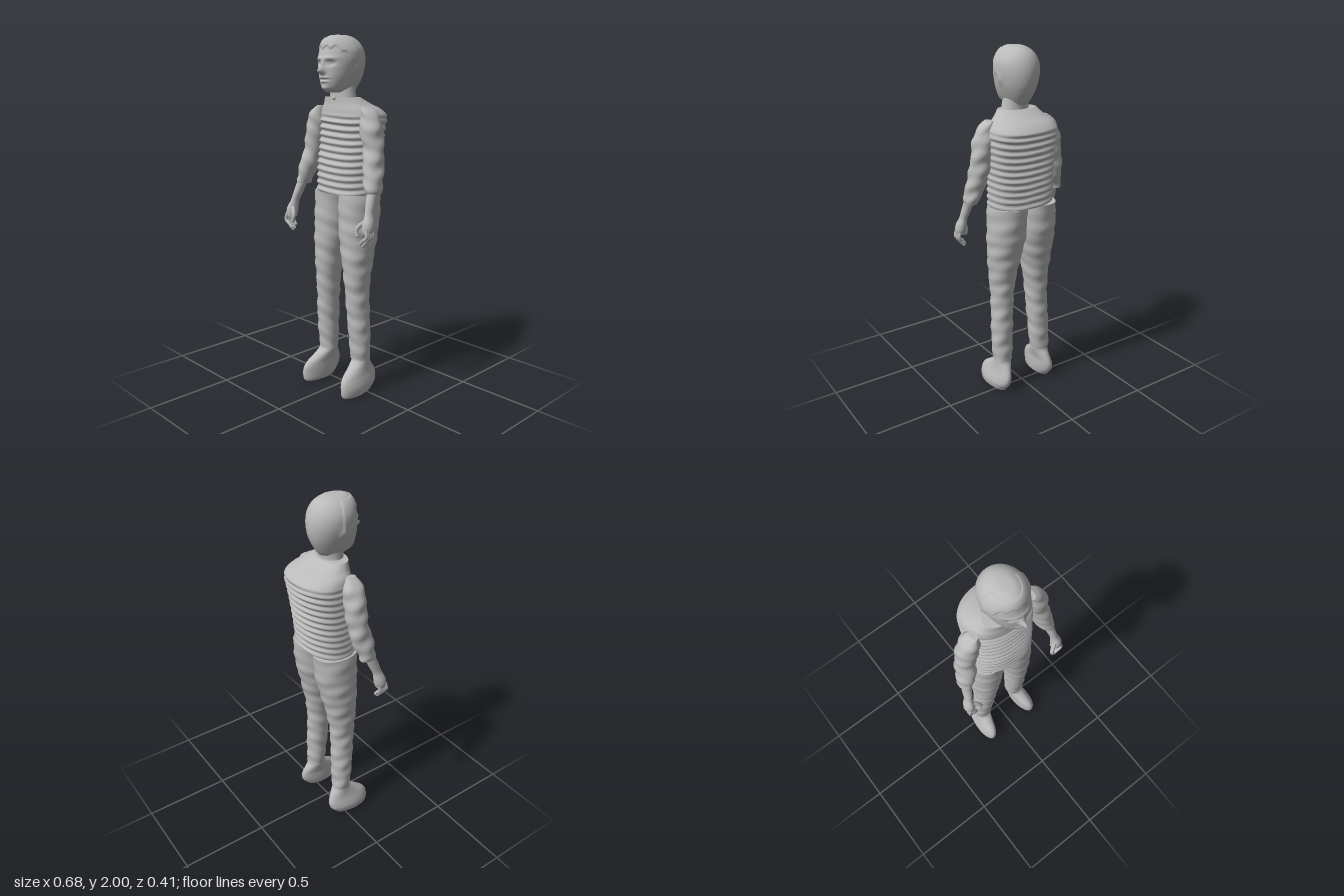
import * as THREE from 'three';

const grey = new THREE.MeshStandardMaterial({ color: 0xbababa });
grey.name = 'plain grey';

// Skin over stacked rings [y, x0, x1, zBack, zFront], listed from bottom to top.
// move(point, angle) can push each vertex further.
function loft(name, rings, { rows = 40, sides = 40, power = 2, move } = {}) {
  const curve = (k) => new THREE.CatmullRomCurve3(
    rings.map((r) => new THREE.Vector3(r[0], r[k], r[k + 1])), false, 'centripetal');
  const xs = curve(1), zs = curve(3);
  const pos = [], idx = [];
  const p = new THREE.Vector3(), a = new THREE.Vector3(), b = new THREE.Vector3();
  const bend = (v) => Math.sign(v) * Math.abs(v) ** (2 / power);
  for (let i = 0; i <= rows; i++) {
    xs.getPoint(i / rows, a);
    zs.getPoint(i / rows, b);
    for (let j = 0; j < sides; j++) {
      const t = (j / sides) * Math.PI * 2;
      p.set((a.y + a.z) / 2 + bend(Math.sin(t)) * (a.z - a.y) / 2, a.x,
        (b.y + b.z) / 2 + bend(Math.cos(t)) * (b.z - b.y) / 2);
      if (move) move(p, t);
      pos.push(p.x, p.y, p.z);
    }
  }
  for (let i = 0; i < rows; i++) {
    for (let j = 0; j < sides; j++) {
      const q = i * sides + j, r = i * sides + (j + 1) % sides;
      idx.push(q, r, r + sides, q, r + sides, q + sides);
    }
  }
  // Flat end caps on their own vertices keep the rims sharp
  for (const row of [0, rows]) {
    const first = pos.length / 3;
    for (let j = 0; j < sides; j++) {
      const o = (row * sides + j) * 3;
      pos.push(pos[o], pos[o + 1], pos[o + 2]);
    }
    for (let j = 1; j < sides - 1; j++) {
      if (row) idx.push(first, first + j, first + j + 1);
      else idx.push(first, first + j + 1, first + j);
    }
  }
  const g = new THREE.BufferGeometry();
  g.setAttribute('position', new THREE.Float32BufferAttribute(pos, 3));
  g.setIndex(idx);
  g.computeVertexNormals();
  const mesh = new THREE.Mesh(g, grey);
  mesh.name = name;
  return mesh;
}

const bump = (x, y, cx, cy, w, h) => Math.exp(-(((x - cx) / w) ** 2) - ((y - cy) / h) ** 2);

// Face relief and a raised hair edge
function sculptHead(p, t) {
  const x = p.x - 0.013, y = p.y, ax = Math.abs(x), front = Math.cos(t);
  if (front > 0) {
    p.z += 0.036 * bump(x, y, 0, 1.812, 0.015, 0.017)
      + 0.014 * bump(x, y, 0, 1.84, 0.011, 0.03)
      - 0.015 * bump(ax, y, 0.043, 1.852, 0.022, 0.013)
      + 0.006 * bump(ax, y, 0.04, 1.853, 0.012, 0.006)
      + 0.007 * bump(ax, y, 0.035, 1.878, 0.04, 0.01)
      + 0.008 * bump(x, y, 0, 1.779, 0.026, 0.006)
      - 0.007 * bump(x, y, 0, 1.768, 0.032, 0.004)
      + 0.008 * bump(x, y, 0, 1.758, 0.024, 0.006)
      + 0.008 * bump(x, y, 0, 1.722, 0.022, 0.014);
  }
  // Ears
  p.x += Math.sign(x) * 0.008 * bump(p.z, y, 0.02, 1.83, 0.016, 0.028) * (ax > 0.07 ? 1 : 0);
  // Hairline, lower at the temples, with loose locks
  const line = 1.935 - 0.12 * Math.max(0, 0.75 - front) + 0.008 * Math.sin(t * 13);
  const hair = THREE.MathUtils.smoothstep(y, line - 0.006, line + 0.006);
  if (front > -0.1 && y < 1.985) {
    p.z += 0.006 * hair * front;
    p.x += 0.005 * hair * Math.sin(t);
  }
}

export function createModel() {
  const model = new THREE.Group();
  model.name = 'standing figure';

  // Head and neck
  model.add(loft('head', [
    [1.7, -0.04, 0.065, -0.045, 0.125], [1.72, -0.058, 0.083, -0.06, 0.155],
    [1.765, -0.078, 0.105, -0.085, 0.167], [1.81, -0.093, 0.12, -0.1, 0.169],
    [1.87, -0.104, 0.13, -0.105, 0.168], [1.92, -0.1, 0.126, -0.095, 0.157],
    [1.96, -0.08, 0.104, -0.073, 0.146], [1.985, -0.052, 0.076, -0.042, 0.128],
    [1.997, -0.025, 0.05, -0.005, 0.1], [2, 0.008, 0.018, 0.04, 0.055],
  ], { rows: 110, sides: 120, move: sculptHead }));
  model.add(loft('neck', [
    [1.62, -0.065, 0.115, -0.04, 0.095], [1.68, -0.054, 0.1, -0.032, 0.095],
    [1.75, -0.055, 0.085, -0.04, 0.095],
  ], { rows: 12 }));

  // Quilted jacket body with horizontal ridges
  model.add(loft('ribbedTorso', [
    [1.155, -0.17, 0.205, -0.143, 0.13], [1.3, -0.168, 0.208, -0.158, 0.127],
    [1.42, -0.168, 0.215, -0.172, 0.112], [1.53, -0.17, 0.222, -0.19, 0.105],
    [1.575, -0.168, 0.222, -0.197, 0.103], [1.61, -0.155, 0.2, -0.165, 0.1],
    [1.64, -0.125, 0.162, -0.105, 0.096], [1.675, -0.1, 0.128, -0.04, 0.094],
  ], {
    rows: 130, sides: 72, power: 2.25,
    move(p, t) {
      const fade = 1 - THREE.MathUtils.smoothstep(p.y, 1.54, 1.6);
      const wave = 0.007 * fade * Math.sin((p.y - 1.155) * 165 + 0.7 * Math.sin(t * 3));
      p.x += wave * 0.5 * Math.sin(t);
      p.z += wave * Math.cos(t);
    },
  }));
  const collar = new THREE.Mesh(new THREE.SphereGeometry(0.014, 16, 10), grey);
  collar.name = 'collarFastener';
  collar.position.set(0.018, 1.672, 0.09);
  model.add(collar);

  for (const s of [-1, 1]) {
    const side = s < 0 ? 'right' : 'left';
    // Rings are given as inner and outer distance from the middle
    const place = (rings) => rings.map(([y, inner, outer, z0, z1]) => {
      const c = 0.01 * y;
      return s > 0 ? [y, c + inner, c + outer, z0, z1] : [y, c - outer, c - inner, z0, z1];
    });
    const part = (name, rings, options) => model.add(loft(side + name, place(rings), options));
    const folds = (size) => (p, t) => {
      const f = size * Math.sin(p.y * 62 + 2.2 * Math.sin(t + s)) * Math.sin(p.y * 17 + t);
      p.x += f * Math.sin(t);
      p.z += f * Math.cos(t);
    };

    // Trouser leg
    part('TrouserLeg', [
      [0.195, 0.076, 0.19, -0.05, 0.054], [0.3, 0.07, 0.192, -0.05, 0.065],
      [0.4, 0.066, 0.19, -0.051, 0.075], [0.5, 0.06, 0.185, -0.05, 0.083],
      [0.6, 0.055, 0.183, -0.052, 0.091], [0.7, 0.043, 0.188, -0.063, 0.099],
      [0.8, 0.026, 0.196, -0.083, 0.105], [0.9, 0.005, 0.202, -0.105, 0.108],
      [1, -0.005, 0.203, -0.128, 0.11], [1.155, -0.006, 0.198, -0.14, 0.11],
    ], { rows: 70, power: 2.15, move: folds(0.0035) });

    // Shoe
    part('Shoe', [
      [0, 0.115, 0.195, -0.045, 0.162], [0.012, 0.105, 0.204, -0.055, 0.171],
      [0.05, 0.1, 0.21, -0.086, 0.176], [0.085, 0.1, 0.203, -0.095, 0.173],
      [0.115, 0.1, 0.194, -0.09, 0.155], [0.15, 0.093, 0.187, -0.072, 0.105],
      [0.185, 0.085, 0.184, -0.05, 0.058], [0.22, 0.085, 0.184, -0.045, 0.05],
    ], {
      // Narrow the toe and turn it slightly outward
      move(p) {
        const toe = Math.max(0, p.z - 0.02) / 0.15;
        p.x += s * 0.008 * toe;
      },
    });

    // Sleeve
    part('Sleeve', [
      [1.178, 0.242, 0.312, 0.02, 0.11], [1.2, 0.233, 0.315, 0.014, 0.114],
      [1.3, 0.198, 0.304, -0.018, 0.104], [1.4, 0.178, 0.29, -0.03, 0.08],
      [1.5, 0.152, 0.277, -0.036, 0.084], [1.57, 0.152, 0.253, -0.03, 0.076],
      [1.605, 0.152, 0.225, -0.018, 0.066], [1.625, 0.155, 0.195, -0.006, 0.058],
    ], { rows: 60, move: folds(0.005) });

    // Forearm running into the palm
    part('ForearmAndPalm', [
      [0.985, 0.278, 0.335, 0.11, 0.168], [1.01, 0.276, 0.339, 0.1, 0.17],
      [1.04, 0.278, 0.335, 0.095, 0.165], [1.08, 0.278, 0.32, 0.09, 0.146],
      [1.12, 0.268, 0.315, 0.072, 0.134], [1.2, 0.25, 0.307, 0.04, 0.105],
    ], { rows: 30, sides: 28 });

    // Curled fingers and thumb
    const digit = (name, points, radius) => {
      const path = new THREE.CatmullRomCurve3(
        points.map(([x, y, z]) => new THREE.Vector3(s * x + 0.01 * y, y, z)));
      const mesh = new THREE.Mesh(new THREE.TubeGeometry(path, 12, radius, 10), grey);
      mesh.name = side + name;
      const tip = new THREE.Mesh(new THREE.SphereGeometry(radius, 10, 8), grey);
      tip.name = side + name + 'Tip';
      tip.position.copy(path.getPoint(1));
      model.add(mesh, tip);
    };
    for (let i = 0; i < 4; i++) {
      const z = 0.117 + i * 0.015, drop = [0.935, 0.917, 0.912, 0.925][i];
      digit('Finger' + (i + 1), [[0.318, 1.01, z], [0.326, 0.965, z + 0.004],
        [0.312 - i * 0.004, drop + 0.02, z + 0.003], [0.298 - i * 0.006, drop, z]], 0.0095);
    }
    digit('Thumb', [[0.295, 1.045, 0.14], [0.268, 1.022, 0.158],
      [0.255, 0.995, 0.168], [0.262, 0.968, 0.168]], 0.0115);
  }
  return model;
}
